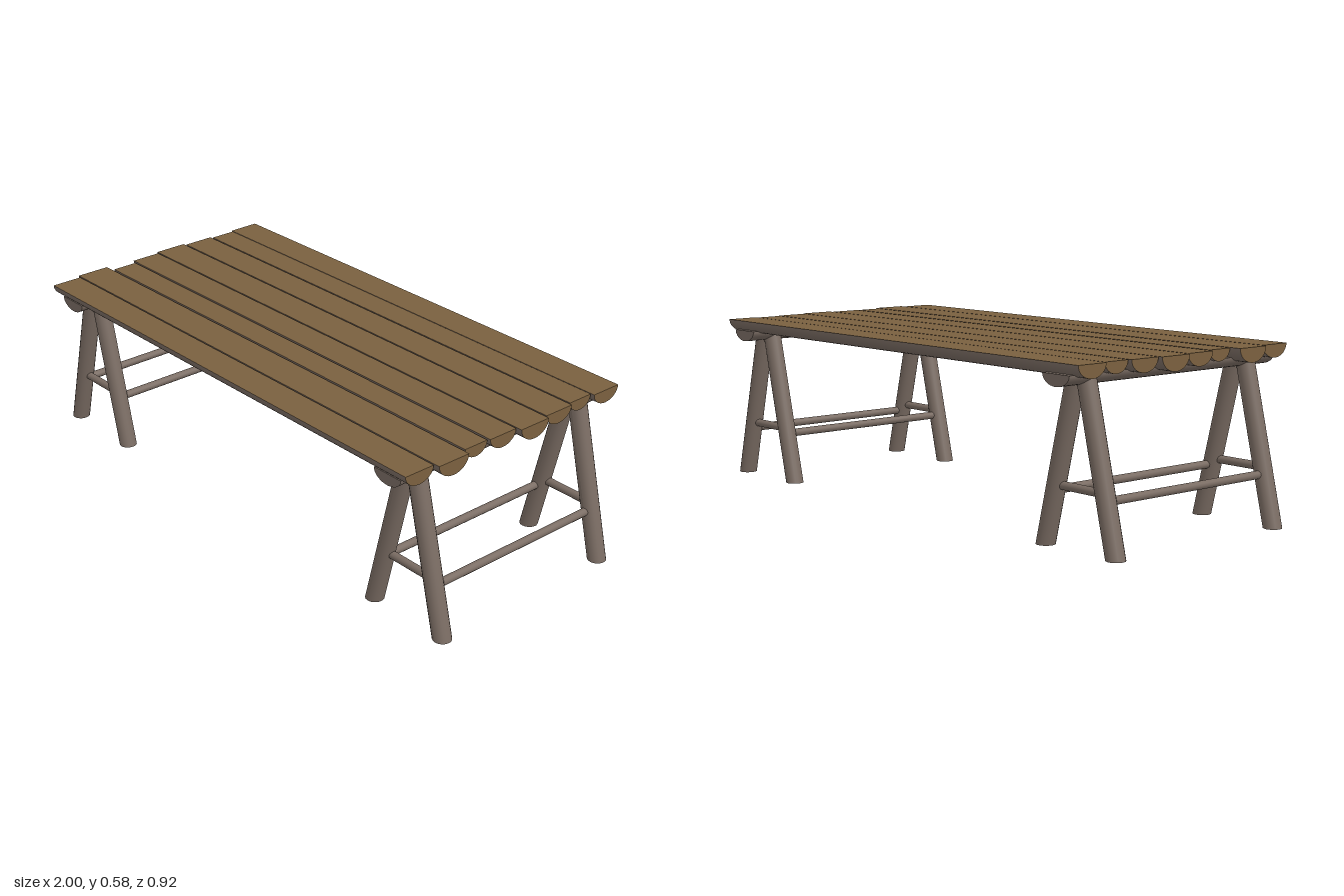
import * as THREE from 'three';

export function createModel() {
  const wood = new THREE.MeshStandardMaterial({ color: 0x7a603f });
  wood.name = 'cut wood';
  const bark = new THREE.MeshStandardMaterial({ color: 0x7a6c63 });
  bark.name = 'bark';

  const model = new THREE.Group();
  model.name = 'halfLogTable';

  const mesh = (name, geometry, material, parent) => {
    const m = new THREE.Mesh(geometry, material);
    m.name = name;
    parent.add(m);
    return m;
  };

  // Log split lengthwise along z: flat face at y = 0, rounded bark below
  function halfLog(name, halfWidth, depth, length, cutMaterial) {
    const log = new THREE.Group();
    log.name = name;
    const k = depth / halfWidth;
    const shell = new THREE.CylinderGeometry(halfWidth, halfWidth, length, 16, 1, true, -Math.PI / 2, Math.PI)
      .rotateX(Math.PI / 2).scale(1, k, 1);
    mesh(name + 'Bark', shell, bark, log);
    mesh(name + 'Top', new THREE.PlaneGeometry(halfWidth * 2, length).rotateX(-Math.PI / 2), cutMaterial, log);
    for (const turn of [0, Math.PI]) {
      const end = new THREE.CircleGeometry(halfWidth, 16, Math.PI, Math.PI)
        .scale(1, k, 1).translate(0, 0, length / 2).rotateY(turn);
      mesh(name + 'End', end, cutMaterial, log);
    }
    model.add(log);
    return log;
  }

  // Table top planks: [z from, z to, depth, x from, x to]
  const planks = [
    [0.346, 0.458, 0.044, -0.912, 0.912],
    [0.219, 0.341, 0.049, -0.928, 0.930],
    [0.118, 0.211, 0.039, -0.893, 0.905],
    [0.000, 0.110, 0.044, -0.914, 0.910],
    [-0.125, -0.005, 0.049, -0.925, 0.928],
    [-0.243, -0.130, 0.044, -0.914, 0.914],
    [-0.343, -0.248, 0.039, -0.905, 0.902],
    [-0.459, -0.346, 0.044, -0.914, 0.914],
  ];
  for (const [z0, z1, depth, x0, x1] of planks) {
    const plank = halfLog('plank', (z1 - z0) / 2, depth, x1 - x0, wood);
    plank.rotation.y = Math.PI / 2;
    plank.position.set((x0 + x1) / 2, 0.577, (z0 + z1) / 2);
  }

  // Trestles: a half-log beam on two pairs of splayed legs with stretchers
  const legZ = [0.343, -0.355], legTop = 0.53, slope = 0.245;
  for (const side of [-1, 1]) {
    const cx = side * 0.818;
    halfLog('beam', 0.058, 0.038, 0.9, bark).position.set(cx, 0.543, -0.008);

    for (const splay of [-1, 1]) {
      const legX = (y) => cx + splay * (0.151 - slope * y);

      // Leg sheared sideways so that its foot sits level on the ground
      for (const z of legZ) {
        const leg = new THREE.CylinderGeometry(0.031, 0.031, legTop, 18).translate(0, legTop / 2, 0);
        leg.applyMatrix4(new THREE.Matrix4().set(
          1, -splay * slope, 0, legX(0),
          0, 1, 0, 0,
          0, 0, 1, z,
          0, 0, 0, 1));
        leg.computeVertexNormals();
        mesh('leg', leg, bark, model);
      }

      // Long stretcher joining the front and back legs
      const y = splay === side ? 0.1685 : 0.173;
      const bar = new THREE.CylinderGeometry(0.0137, 0.0137, 0.68, 12).rotateX(Math.PI / 2);
      mesh('longStretcher', bar, bark, model).position.set(legX(y), y, -0.006);
    }

    // Short stretchers across each pair of legs
    for (const z of legZ) {
      const bar = new THREE.CylinderGeometry(0.0137, 0.0137, 0.19, 12).rotateZ(Math.PI / 2);
      mesh('shortStretcher', bar, bark, model).position.set(cx, 0.191, z);
    }
  }
  return model;
}
